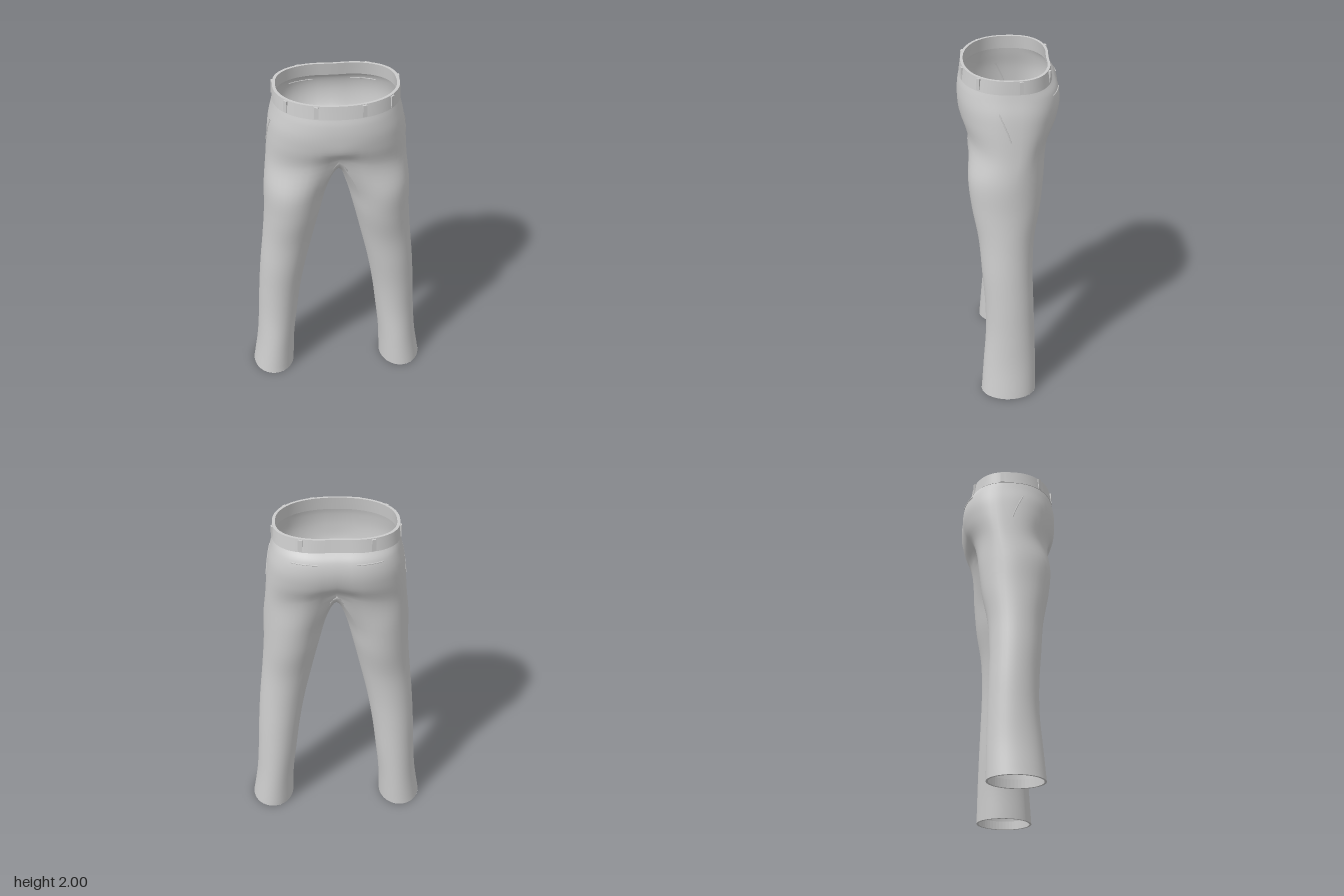
import * as THREE from 'three';
import { mergeGeometries, mergeVertices } from 'three/addons/utils/BufferGeometryUtils.js';

const V = (x, y, z) => new THREE.Vector3(x, y, z);
const RAD = Math.PI / 180;
const COLS = 24, STEPS = 5;
const cloth = new THREE.MeshStandardMaterial({ color: 0xcccccc, side: THREE.DoubleSide });

// Leg sections: height, inner x, outer x, front z, back z
const LEG = [
  [0, 0.28, 0.535, 0.18, -0.15], [0.2, 0.272, 0.505, 0.165, -0.147],
  [0.4, 0.25, 0.49, 0.15, -0.142], [0.6, 0.225, 0.48, 0.152, -0.135],
  [0.8, 0.19, 0.466, 0.168, -0.13], [1.0, 0.145, 0.446, 0.185, -0.138],
  [1.2, 0.098, 0.43, 0.222, -0.172], [1.38, 0.05, 0.425, 0.24, -0.19],
];
// Hip sections: height, half width, front z, back z, front and back centre dips
const SADDLE = [1.54, 0.408, 0.252, -0.225, 0.13, 0.2];
const HIP = [
  [1.7, 0.395, 0.282, -0.272, 0, 0.07], [1.8, 0.383, 0.295, -0.29, 0, 0.03],
  [1.88, 0.365, 0.29, -0.278, 0, 0.03], [1.93, 0.355, 0.278, -0.243, 0, 0.04],
];

function legPoint([y, xi, xo, zf, zb], angle) {
  return V((xi + xo) / 2 + (xo - xi) / 2 * Math.cos(angle), y,
    (zf + zb) / 2 + (zf - zb) / 2 * Math.sin(angle));
}

// s runs from 1 (front centre) through 0 (side) to -1 (back centre)
function hipPoint([y, rx, zf, zb, dipF, dipB], s, rise = 0) {
  const c = Math.max(0, Math.cos(s * 90 * RAD)), n = Math.abs(Math.sin(s * 90 * RAD));
  const e = s > 0 ? 0.91 : 0.77;
  const x = Math.abs(s) === 1 ? 0 : rx * c ** e;
  const dip = 1 - (s > 0 ? dipF : dipB) * Math.exp(-((x / 0.09) ** 2));
  return V(x, y + rise * s * s, (s > 0 ? zf : zb) * n ** e * dip);
}

// Column over the outside of the leg and up the hip
function outerCurve(s) {
  return new THREE.CatmullRomCurve3([
    ...LEG.map(l => legPoint(l, s * 130 * RAD)),
    hipPoint(SADDLE, s, 0.08),
    ...HIP.map(h => hipPoint(h, s)),
  ]);
}

// Column up the inside of the leg, arching over the crotch to its mirror image
function innerCurve(t) {
  const f = hipPoint(SADDLE, 1, 0.08), b = hipPoint(SADDLE, -1, 0.08);
  const pts = LEG.map(l => legPoint(l, (-130 - 100 * t) * RAD));
  const last = pts[pts.length - 1];
  pts.push(V(0, f.y - 0.12 * Math.sin(Math.PI * t),
    (f.z + b.z) / 2 - (f.z - b.z) / 2 * Math.cos(Math.PI * t)));
  pts.push(V(-last.x, last.y, last.z));
  return new THREE.CatmullRomCurve3(pts);
}

function sample(curve, segments) {
  const out = [];
  for (let i = 0; i <= segments * STEPS; i++) {
    const p = curve.getPoint(i / STEPS / (curve.points.length - 1));
    p.x = Math.max(0, p.x);
    out.push(p);
  }
  return out;
}

// Surface through columns of points; mirrored across x when asked
function skin(columns, mirror = false) {
  const rows = columns[0].length, pos = [], idx = [];
  columns.forEach(col => col.forEach(p => pos.push(mirror ? -p.x : p.x, p.y, p.z)));
  for (let i = 0; i < columns.length - 1; i++) {
    for (let j = 0; j < rows - 1; j++) {
      const a = i * rows + j, b = a + rows;
      if (mirror) idx.push(a, b + 1, b, a, a + 1, b + 1);
      else idx.push(a, b, b + 1, a, b + 1, a + 1);
    }
  }
  const g = new THREE.BufferGeometry();
  g.setAttribute('position', new THREE.Float32BufferAttribute(pos, 3));
  g.setIndex(idx);
  return g;
}

function smooth(parts) {
  const g = mergeVertices(mergeGeometries(parts), 1e-4);
  g.computeVertexNormals();
  return g;
}

export function createModel() {
  const group = new THREE.Group();
  const add = (name, geometry) => {
    const m = new THREE.Mesh(geometry, cloth);
    m.name = name;
    group.add(m);
    return m;
  };

  // Legs and seat in one smooth skin
  const outer = [], inner = [];
  for (let i = 0; i <= COLS; i++) {
    outer.push(sample(outerCurve(1 - 2 * i / COLS), LEG.length + HIP.length));
  }
  const legRows = LEG.length * STEPS + 1;
  for (let i = 0; i <= COLS; i++) {
    if (i === 0) inner.push(outer[COLS].slice(0, legRows));
    else if (i === COLS) inner.push(outer[0].slice(0, legRows));
    else inner.push(sample(innerCurve(i / COLS), LEG.length));
  }
  // keep the centre seam of the hips on the symmetry plane
  for (const col of [outer[0], outer[COLS]]) col.slice(legRows - 1).forEach(p => { p.x = 0; });
  add('trouserLegsAndSeat', smooth([skin(outer), skin(inner), skin(outer, true), skin(inner, true)]));

  // Turned-in hems
  const hemColumns = [];
  for (let i = 0; i <= 48; i++) {
    const a = -i / 48 * Math.PI * 2;
    const [y, xi, xo, zf, zb] = LEG[0];
    const inside = [y, xi + 0.012, xo - 0.012, zf - 0.012, zb + 0.012];
    hemColumns.push([legPoint(inside, a).setY(0.05), legPoint(inside, a), legPoint(LEG[0], a)]);
  }
  for (const right of [false, true]) {
    const g = skin(hemColumns, right).toNonIndexed();
    g.computeVertexNormals();
    add(right ? 'rightHem' : 'leftHem', g);
  }

  // Waistband: outside, top edge and inside, each with its own smooth normals
  const low = [1.922, 0.36, 0.283, -0.247, 0, 0.04], high = [2, 0.355, 0.272, -0.235, 0, 0.04];
  const shrink = ([y, rx, zf, zb, f, b]) => [y, rx - 0.017, zf - 0.015, zb + 0.015, f, b];
  const corners = [low, high, shrink(high), shrink(low)];
  const strips = corners.map((from, k) => {
    const to = corners[(k + 1) % 4], cols = [];
    for (let i = 0; i <= 40; i++) {
      const s = 1 - i / 20;
      cols.push([hipPoint(from, s), hipPoint(to, s)]);
    }
    return smooth([skin(cols), skin(cols, true)]);
  });
  add('waistband', mergeGeometries(strips));

  // Belt loops around the band
  for (const s of [0.785, 0.41, -0.1, -0.69]) {
    for (const side of [1, -1]) {
      const p = hipPoint(low, s).lerp(hipPoint(high, s), 0.5);
      const d = hipPoint(low, s - 0.02).sub(hipPoint(low, s + 0.02));
      const loop = add('beltLoop', new THREE.BoxGeometry(0.024, 0.07, 0.012));
      loop.position.set(side * p.x, p.y, p.z);
      loop.rotation.y = side * Math.atan2(-d.z, d.x);
    }
  }

  // Pocket seams laid on the cloth: from (s, section) to (s, section)
  const seam = (name, s0, k0, s1, k1) => {
    const pts = [];
    for (let i = 0; i <= 8; i++) {
      const t = i / 8, c = outerCurve(s0 + (s1 - s0) * t);
      pts.push(c.getPoint((k0 + (k1 - k0) * t) / (c.points.length - 1)));
    }
    for (const side of [1, -1]) {
      const path = new THREE.CatmullRomCurve3(pts.map(p => V(side * p.x, p.y, p.z)));
      add(name, new THREE.TubeGeometry(path, 16, 0.004, 6));
    }
  };
  seam('sidePocketSeam', 0.12, 10.2, 0, 8.7);
  seam('backPocketSeam', -0.87, 10.85, -0.58, 10.85);
  return group;
}
